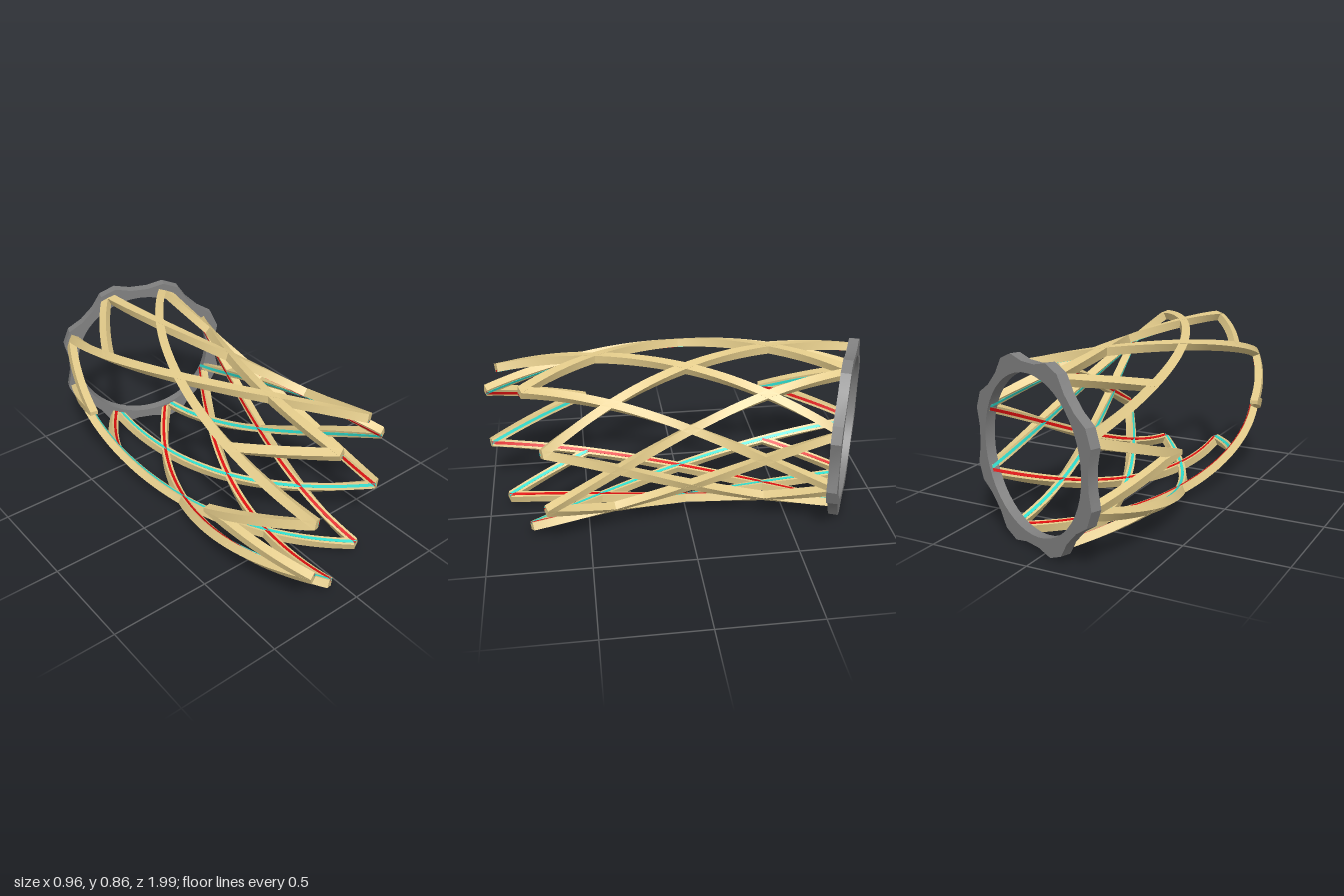
import * as THREE from 'three';
import { toCreasedNormals } from 'three/addons/utils/BufferGeometryUtils.js';

const D = Math.PI / 180;
const R = 2.2, CX = 2.095, CY = 0.43;     // bend radius and bend centre of the tube
const FRONT = 22.5, BACK = -22, NODE = 11.25, MITRE = 0.8;

// Point on the bent tube: phi along the bend, theta around it, r from its axis
function tubePoint(phi, theta, r) {
  const d = R - r * Math.cos(theta * D);
  return [CX - d * Math.cos(phi * D), CY + r * Math.sin(theta * D), d * Math.sin(phi * D)];
}

// Rectangular slat wound around the bent tube; lo/hi trim its edges for a mitred joint
function slatGeometry({ mid, from, to, lo = -1e4, hi = 1e4 }, sign, r0, r1, width) {
  const steps = Math.ceil((from - to) / 0.9);
  const half = width / (r0 + r1) / D;
  const pos = [], idx = [];
  const tri = (a, b, c) => (sign > 0 ? idx.push(a, b, c) : idx.push(a, c, b));
  const quad = (a, b, c, d) => { tri(a, b, c); tri(a, c, d); };
  for (let i = 0; i <= steps; i++) {
    const phi = from + (to - from) * i / steps;
    const theta = mid - 2 * phi;
    const t0 = THREE.MathUtils.clamp(theta - half, lo, hi);
    const t1 = THREE.MathUtils.clamp(theta + half, lo, hi);
    for (const [r, t] of [[r0, t0], [r1, t0], [r1, t1], [r0, t1]]) pos.push(...tubePoint(phi, sign * t, r));
    if (i < steps) {
      for (let j = 0; j < 4; j++) {
        const a = i * 4 + j, d = i * 4 + (j + 1) % 4;
        quad(a, a + 4, d + 4, d);
      }
    }
  }
  quad(0, 1, 2, 3);
  const e = steps * 4;
  quad(e + 3, e + 2, e + 1, e);
  const g = new THREE.BufferGeometry();
  g.setAttribute('position', new THREE.Float32BufferAttribute(pos, 3));
  g.setIndex(idx);
  return toCreasedNormals(g, 0.5);
}

// Scalloped end ring with eight lobes and a round hole
function ringGeometry() {
  const pts = [];
  for (let k = 0; k < 8; k++) {
    for (const [a, r] of [[-6.5, 0.414], [6.5, 0.414], [17, 0.45], [28, 0.45]]) {
      const t = (k * 45 + a) * D;
      pts.push(new THREE.Vector2(r * Math.cos(t), r * Math.sin(t)));
    }
  }
  const shape = new THREE.Shape(pts);
  const hole = new THREE.Path();
  hole.absarc(0, 0, 0.365, 0, Math.PI * 2, true);
  shape.holes.push(hole);
  const g = new THREE.ExtrudeGeometry(shape, { depth: 0.05, bevelEnabled: false, curveSegments: 24 });
  g.translate(0, 0, -0.025);
  return toCreasedNormals(g, 0.3);
}

export function createModel() {
  const model = new THREE.Group();
  model.name = 'latticeTube';
  const mat = (color) => new THREE.MeshStandardMaterial({ color });
  const wood = mat(0xe3cb8a), grey = mat(0x808080);
  const light = { 1: mat(0xe01010), [-1]: mat(0x30e0d0) };

  const add = (name, geometry, material, parent = model) => {
    const m = new THREE.Mesh(geometry, material);
    m.name = name;
    parent.add(m);
    return m;
  };

  // Slat runs: two are interrupted to leave the opening on the outside of the bend
  const runs = [];
  for (let k = 0; k < 8; k++) {
    const mid = 22.5 + 45 * k;
    if (mid === 157.5) {
      runs.push({ mid, from: FRONT, to: NODE });
      runs.push({ mid, from: -NODE + MITRE, to: BACK, lo: 180 });
    } else if (mid === 202.5) {
      runs.push({ mid, from: FRONT, to: NODE - MITRE, hi: 180 });
      runs.push({ mid, from: -NODE, to: BACK });
    } else {
      runs.push({ mid, from: FRONT, to: BACK });
    }
  }

  // Both winding directions, each with a coloured strip along the inner face
  for (const sign of [1, -1]) {
    const family = new THREE.Group();
    family.name = sign > 0 ? 'rightHandSlats' : 'leftHandSlats';
    model.add(family);
    for (const run of runs) {
      add('slat', slatGeometry(run, sign, 0.38, 0.42, 0.042), wood, family);
      const strip = run.from === FRONT ? { ...run, from: FRONT + 0.04 } : run;
      add('lightStrip', slatGeometry(strip, sign, 0.378, 0.388, 0.016), light[sign], family);
    }
  }

  // End ring holding the back ends of the slats
  const ring = add('endRing', ringGeometry(), grey);
  ring.position.set(0.067, CY, -0.81);
  ring.rotation.y = -22.5 * D;
  return model;
}
